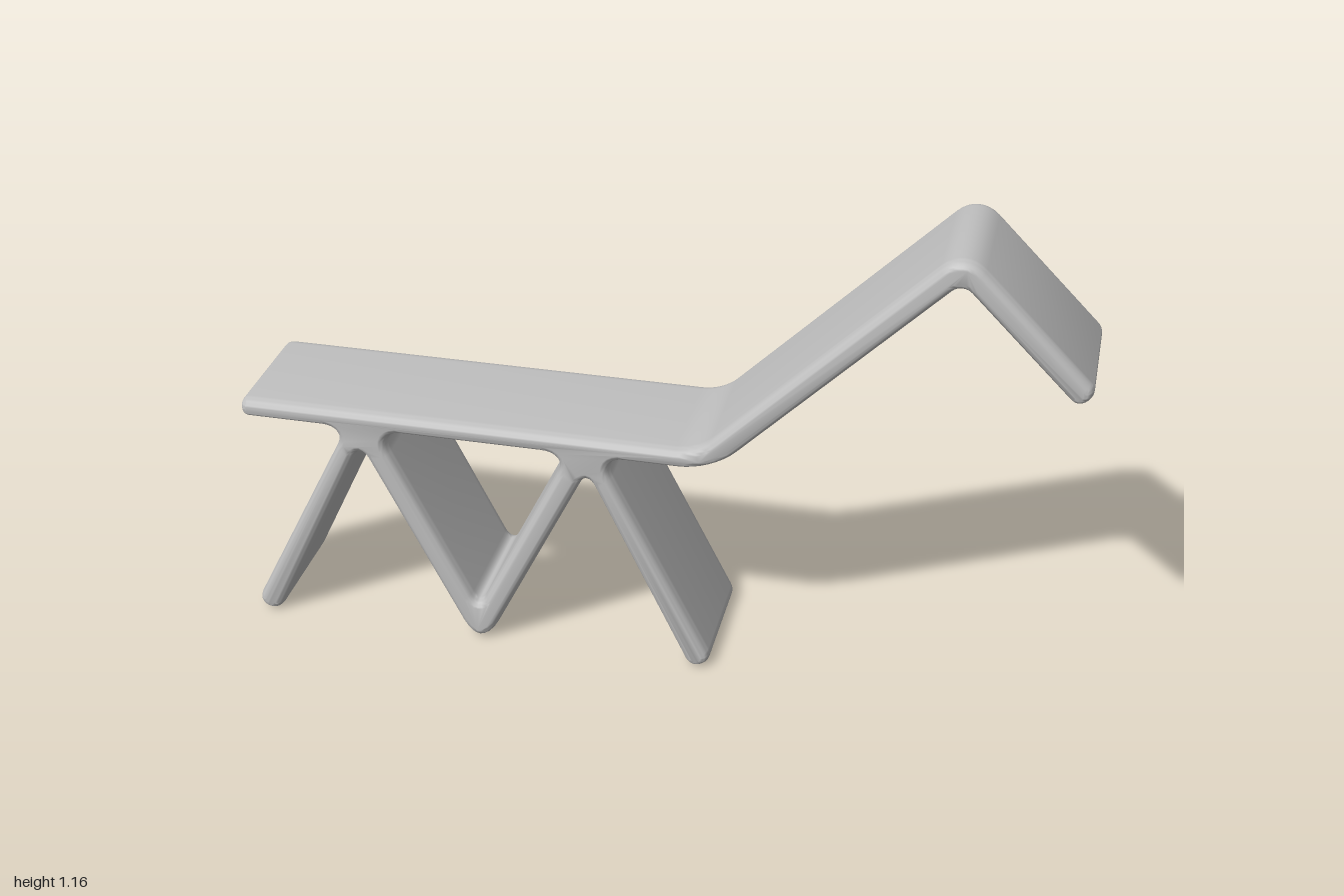
import * as THREE from 'three';
import { toCreasedNormals } from 'three/addons/utils/BufferGeometryUtils.js';

// Trace a closed polygon of [x, y, d], rounding each corner from a distance d along its sides
function roundedLoop(path, points) {
  const n = points.length;
  points.forEach(([x, y, d], i) => {
    const corner = new THREE.Vector2(x, y);
    const toward = ([px, py]) => {
      const v = new THREE.Vector2(px - x, py - y).setLength(d);
      return v.add(corner);
    };
    const a = toward(points[(i + n - 1) % n]);
    const b = toward(points[(i + 1) % n]);
    if (i === 0) path.moveTo(a.x, a.y);
    else path.lineTo(a.x, a.y);
    path.bezierCurveTo(
      a.x + (x - a.x) * 0.6, a.y + (y - a.y) * 0.6,
      b.x + (x - b.x) * 0.6, b.y + (y - b.y) * 0.6, b.x, b.y);
  });
  path.closePath();
  return path;
}

export function createModel() {
  const group = new THREE.Group();
  group.name = 'foldedStripAnimal';
  const grey = new THREE.MeshStandardMaterial({ color: 0xbfbfbf });
  grey.name = 'plain grey';

  // Zigzag legs: rear half, mirrored about the middle foot
  const mid = -0.42;
  const rearLegs = [
    [-0.733, 0.558, 0.06],
    [-1.008, 0.017, 0.031],
    [-0.951, -0.009, 0.031],
    [-0.70, 0.515, 0.04],
  ];
  const frontLegs = rearLegs.map(([x, y, d]) => [2 * mid - x, y, d]).reverse();

  // Full side outline: back, legs, raised neck and drooping head
  const outline = roundedLoop(new THREE.Shape(), [
    [-0.997, 0.606, 0.022],
    [-0.997, 0.558, 0.022],
    ...rearLegs,
    [mid, -0.045, 0.1],
    ...frontLegs,
    [0.16, 0.558, 0.08],
    [0.70, 1.10, 0.03],
    [0.97, 0.828, 0.029],
    [1.012, 0.87, 0.029],
    [0.70, 1.184, 0.07],
    [0.122, 0.606, 0.05],
  ]);

  // Triangular opening between the two pairs of legs
  outline.holes.push(roundedLoop(new THREE.Path(), [
    [mid, 0.087, 0.04],
    [mid - 0.235, 0.558, 0.065],
    [mid + 0.235, 0.558, 0.065],
  ]));

  // Strip width with softly rounded long edges
  const width = 0.33, round = 0.03;
  const geometry = new THREE.ExtrudeGeometry(outline, {
    depth: width - 2 * round,
    curveSegments: 8,
    bevelEnabled: true,
    bevelThickness: round,
    bevelSize: 0.018,
    bevelOffset: -0.018,
    bevelSegments: 6,
  });
  geometry.translate(0, 0, -(width / 2 - round));
  geometry.computeBoundingBox();
  geometry.translate(0, -geometry.boundingBox.min.y, 0);

  const body = new THREE.Mesh(toCreasedNormals(geometry, 0.8), grey);
  body.name = 'body';
  group.add(body);
  return group;
}
